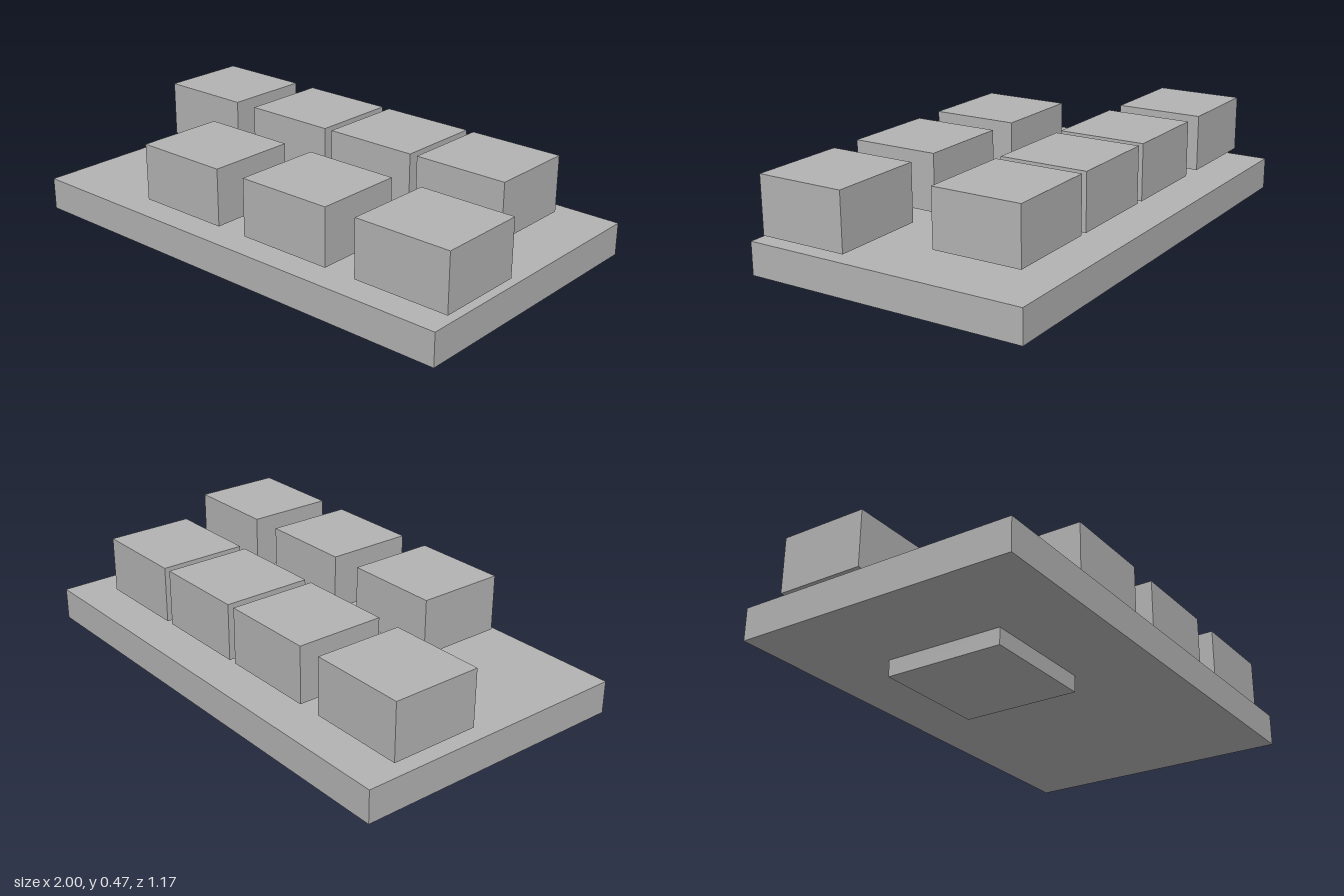
import * as THREE from 'three';

export function createModel() {
  const model = new THREE.Group();
  model.name = 'blockBoard';
  const grey = new THREE.MeshStandardMaterial({ color: 0xb2b2b2 });
  grey.name = 'grey';

  // Box resting with its underside at height y
  const addBox = (name, [w, h, d], [x, y, z]) => {
    const mesh = new THREE.Mesh(new THREE.BoxGeometry(w, h, d), grey);
    mesh.name = name;
    mesh.position.set(x, y + h / 2, z);
    model.add(mesh);
  };

  // Foot under the board, off-centre
  addBox('foot', [0.5, 0.068, 0.5], [-0.335, 0, 0]);
  // Main board
  addBox('board', [2, 0.133, 1.166], [0, 0.068, 0]);

  // Two rows of blocks hovering just above the board
  const rows = [
    { name: 'backBlock', z: -0.266, xs: [-0.77, -0.27, 0.165, 0.598] },
    { name: 'frontBlock', z: 0.334, xs: [-0.27, 0.265, 0.8] },
  ];
  for (const { name, z, xs } of rows) {
    xs.forEach((x, i) => addBox(name + (i + 1), [0.4, 0.232, 0.366], [x, 0.235, z]));
  }
  return model;
}
